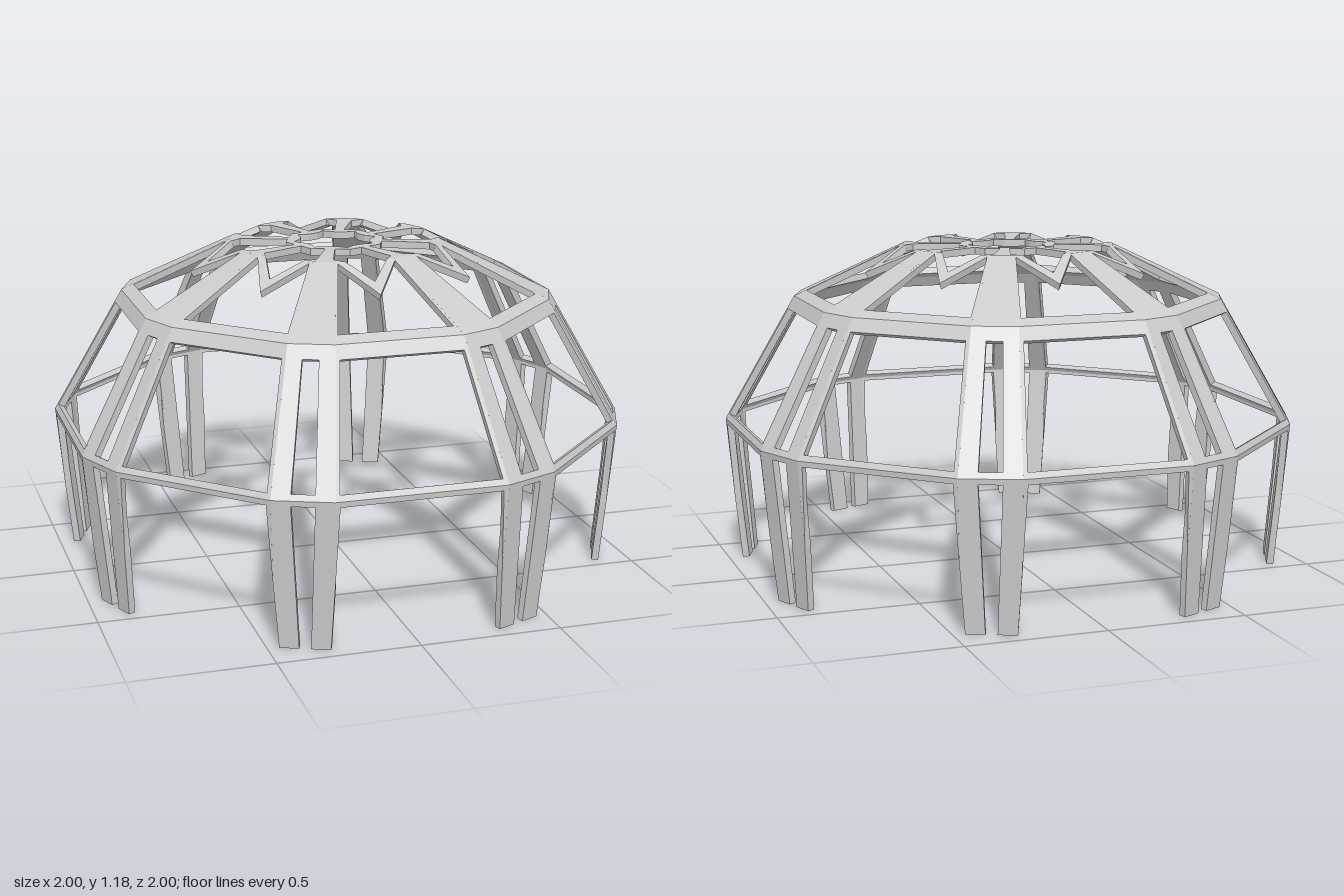
import * as THREE from 'three';

const material = new THREE.MeshStandardMaterial({ color: 0xcccccc, flatShading: true });
const THICKNESS = 0.025;

// Dome profile as [distance from axis, height]: ground, eaves, upper ring, crown
const GROUND = [0.955, 0], EAVES = [1, 0.535], RING = [0.75, 0.99], CROWN = [0.37, 1.178];
// The plan is a 16-sided ring of wide bays and narrow piers
const BAY = 0.3;                    // bay half width per unit distance
const PIER = 0.1055, REACH = 1.0387; // pier half width and distance, relative to the bay

const mirrored = half => [...half, ...half.map(([x, f]) => [-x, f]).reverse()];
const vectors = pts => pts.map(([x, f]) => new THREE.Vector2(x, f));

// Flat plate rising from profile point a to b; points are [x, fraction from a to b]
function plate(a, b, outline, hole) {
  const dz = b[0] - a[0], dy = b[1] - a[1], length = Math.hypot(dz, dy);
  const scaled = pts => vectors(pts.map(([x, f]) => [x, f * length]));
  const shape = new THREE.Shape(scaled(outline));
  if (hole) shape.holes.push(new THREE.Path(scaled(hole)));
  const geometry = new THREE.ExtrudeGeometry(shape, { depth: THICKNESS, bevelEnabled: false });
  geometry.translate(0, 0, -THICKNESS);
  const up = new THREE.Vector3(0, dy / length, dz / length);
  const out = new THREE.Vector3(0, -up.z, up.y);
  const matrix = new THREE.Matrix4().makeBasis(new THREE.Vector3(1, 0, 0), up, out);
  matrix.setPosition(0, a[1], a[0]);
  return geometry.applyMatrix4(matrix);
}

const pierPoint = ([d, y]) => [d * REACH, y];
const roof = z => (RING[0] - z) / (RING[0] - CROWN[0]);

function bayParts() {
  return {
    // Eaves strip with the slim outer edges of the posts
    eavesBeam: plate(GROUND, EAVES, mirrored([[0.282, 0.963], [0.2923, 0.43], [BAY, 1]])),
    // Large sloping window frame
    windowFrame: plate(EAVES, RING,
      mirrored([[BAY, 0], [BAY * RING[0], 1]]),
      mirrored([[0.281, 0.044], [0.217, 0.9]])),
    // Upper ring strip and the pointed tip of the star
    starFrame: plate(RING, CROWN,
      mirrored([[BAY * RING[0], 0], [BAY * CROWN[0], 1], [0.076, 1], [0, roof(0.475)]]).filter((p, i) => i !== 4),
      [[-0.202, roof(0.707)], [0.202, roof(0.707)], [0.103, roof(0.38)], [0, roof(0.54)], [-0.103, roof(0.38)]]),
  };
}

function pierParts() {
  const [ground, eaves, ring, crown] = [GROUND, EAVES, RING, CROWN].map(pierPoint);
  // Crown rib, half outline as [x, distance from axis]
  const rib = [[PIER * CROWN[0], 0.3843], [0.0714, 0.371], [0.029, 0.345], [0.017, 0.1716],
    [0.0708, 0.171], [0.0593, 0.143], [0.02, 0.127]];
  return {
    // Two posts joined by the eaves
    postPair: plate(ground, eaves, mirrored(
      [[0.04, 0.963], [0.02, 0], [0.087, 0], [0.1026, 0.43], [PIER, 1]])),
    // Two sloping struts
    strutPair: plate(eaves, ring,
      mirrored([[PIER, 0], [PIER * RING[0], 1]]),
      mirrored([[0.04, 0.044], [0.028, 0.9]])),
    // Solid petal
    petal: plate(ring, crown, mirrored([[PIER * RING[0], 0], [PIER * CROWN[0], 1]])),
    // Flat rib with half of each neighbouring inner star point
    crownRib: plate([1, CROWN[1]], [0, CROWN[1]], mirrored(rib.map(([x, r]) => [x, 1 - r]))),
  };
}

export function createModel() {
  const model = new THREE.Group();
  model.name = 'domePavilion';
  const sets = [['bay', bayParts(), 0], ['pier', pierParts(), Math.PI / 8]];
  for (let i = 0; i < 8; i++) {
    for (const [name, parts, offset] of sets) {
      const group = new THREE.Group();
      group.name = name + (i + 1);
      group.rotation.y = offset + i * Math.PI / 4;
      for (const [part, geometry] of Object.entries(parts)) {
        const mesh = new THREE.Mesh(geometry, material);
        mesh.name = part;
        group.add(mesh);
      }
      model.add(group);
    }
  }
  return model;
}
